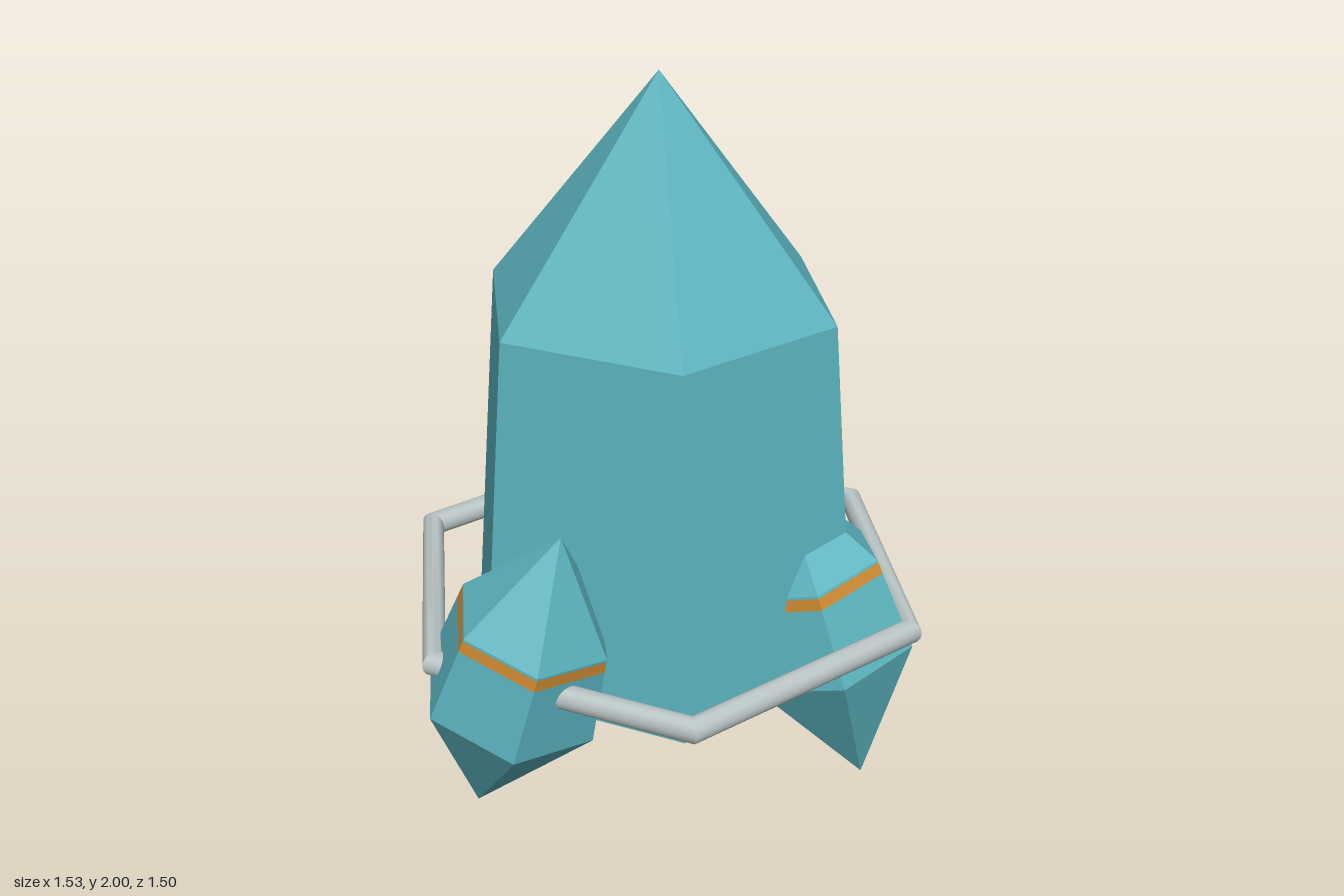
import * as THREE from 'three';
import { toCreasedNormals } from 'three/addons/utils/BufferGeometryUtils.js';

const makeMaterial = (name, color, flatShading) => {
  const m = new THREE.MeshStandardMaterial({ color, flatShading });
  m.name = name;
  return m;
};

// Six-sided faceted solid from [radius, height] pairs, corners on the x axis
function hexSolid(name, profile, material) {
  const points = profile.map(([r, y]) => new THREE.Vector2(r, y));
  const geometry = new THREE.LatheGeometry(points, 6, Math.PI / 2).toNonIndexed();
  geometry.computeVertexNormals();
  const mesh = new THREE.Mesh(geometry, material);
  mesh.name = name;
  return mesh;
}

export function createModel() {
  const teal = makeMaterial('crystal teal', 0x5bb3be, true);
  const gold = makeMaterial('band gold', 0xcc8a33, true);
  const silver = makeMaterial('ring silver', 0xb9c4c4, false);

  const model = new THREE.Group();
  model.name = 'crystalCluster';

  // Large central crystal
  model.add(hexSolid('mainCrystal', [[0, 0], [0.575, 0.4], [0.487, 1.4], [0, 2]], teal));

  // Three small crystals standing on their lower tips around the main one
  const shards = [
    { name: 'leftShard', angle: 0, tilt: 0.3 },
    { name: 'frontShard', angle: (2 * Math.PI) / 3, tilt: -0.3 },
    { name: 'backShard', angle: (4 * Math.PI) / 3, tilt: 0 },
  ];
  const wall = (y) => [0.248 - (0.035 * (y - 0.395)) / 0.265, y];
  for (const { name, angle, tilt } of shards) {
    const shard = new THREE.Group();
    shard.name = name;
    shard.add(
      hexSolid('shardBase', [[0, 0], wall(0.395), wall(0.62)], teal),
      hexSolid('shardBand', [wall(0.62), wall(0.653)], gold),
      hexSolid('shardTip', [wall(0.653), wall(0.66), [0, 0.94]], teal),
    );
    shard.position.set(0.62 * Math.cos(angle), 0.06, 0.62 * Math.sin(angle));
    shard.rotation.z = tilt;
    model.add(shard);
  }

  // Hexagonal tube ring threaded through the shards
  const ringGeometry = toCreasedNormals(new THREE.TorusGeometry(0.728, 0.035, 16, 6), 0.6);
  ringGeometry.rotateX(Math.PI / 2);
  const ring = new THREE.Mesh(ringGeometry, silver);
  ring.name = 'hexRing';
  ring.position.y = 0.555;
  model.add(ring);

  return model;
}
